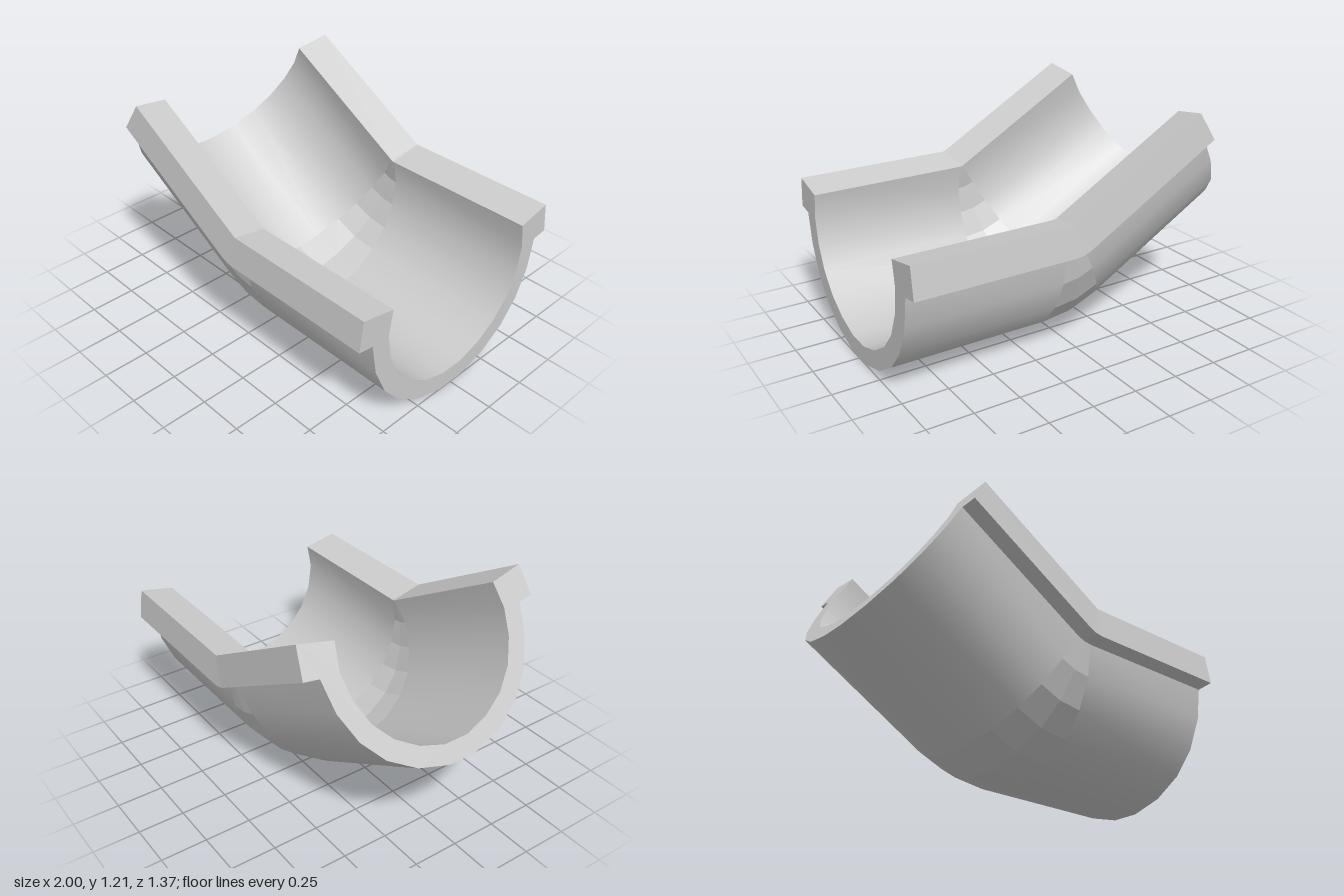
import * as THREE from 'three';
import { toCreasedNormals } from 'three/addons/utils/BufferGeometryUtils.js';

const PIVOT = { x: 0.137, y: 0.78 };
const LEG = 0.863;
const BEND = Math.PI / 6;

// Half of the gutter section as (z, y): outer wall, rim lip, inner wall
const half = [
  [0.078, 0], [0.25, 0.05], [0.4, 0.145], [0.505, 0.27], [0.575, 0.43], [0.602, 0.6],
  [0.687, 0.612], [0.665, 0.778], [0.475, 0.738],
  [0.498, 0.6], [0.477, 0.46], [0.42, 0.327], [0.327, 0.22], [0.205, 0.143], [0.07, 0.1],
];
const section = [...half, ...half.map(([z, y]) => [-z, y]).reverse()];

// Section turned about the pivot by an angle, then moved along its own axis
function ring(angle, along) {
  const c = Math.cos(angle), s = Math.sin(angle);
  return section.map(([z, y]) => {
    const d = PIVOT.y - y;
    return [PIVOT.x - along * c - d * s, PIVOT.y + along * s - d * c, z];
  });
}

// Skin between rings, with optional flat caps at the first or last ring
function loft(rings, capStart, capEnd) {
  const pos = [];
  const tri = (a, b, c) => pos.push(...a, ...b, ...c);
  const n = section.length;
  for (let r = 0; r < rings.length - 1; r++) {
    const a = rings[r], b = rings[r + 1];
    for (let i = 0; i < n; i++) {
      const j = (i + 1) % n;
      tri(a[i], a[j], b[j]);
      tri(a[i], b[j], b[i]);
    }
  }
  const faces = THREE.ShapeUtils.triangulateShape(section.map(([z, y]) => new THREE.Vector2(z, y)), []);
  const first = rings[0], last = rings[rings.length - 1];
  for (const [a, b, c] of faces) {
    if (capStart) tri(first[c], first[b], first[a]);
    if (capEnd) tri(last[a], last[b], last[c]);
  }
  const geometry = new THREE.BufferGeometry();
  geometry.setAttribute('position', new THREE.Float32BufferAttribute(pos, 3));
  geometry.computeVertexNormals();
  return geometry;
}

export function createModel() {
  const group = new THREE.Group();
  group.name = 'bentChannel';
  const add = (name, geometry, flatShading) => {
    const material = new THREE.MeshStandardMaterial({ color: 0xcccccc, flatShading });
    const mesh = new THREE.Mesh(geometry, material);
    mesh.name = name;
    group.add(mesh);
  };

  // Level leg, faceted elbow and raised leg
  add('levelLeg', toCreasedNormals(loft([ring(0, -LEG), ring(0, 0)], true, false), 0.6), false);
  add('elbow', loft([ring(0, 0), ring(BEND / 2, 0), ring(BEND, 0)], false, false), true);
  add('raisedLeg', toCreasedNormals(loft([ring(BEND, 0), ring(BEND, LEG)], false, true), 0.6), false);
  return group;
}
